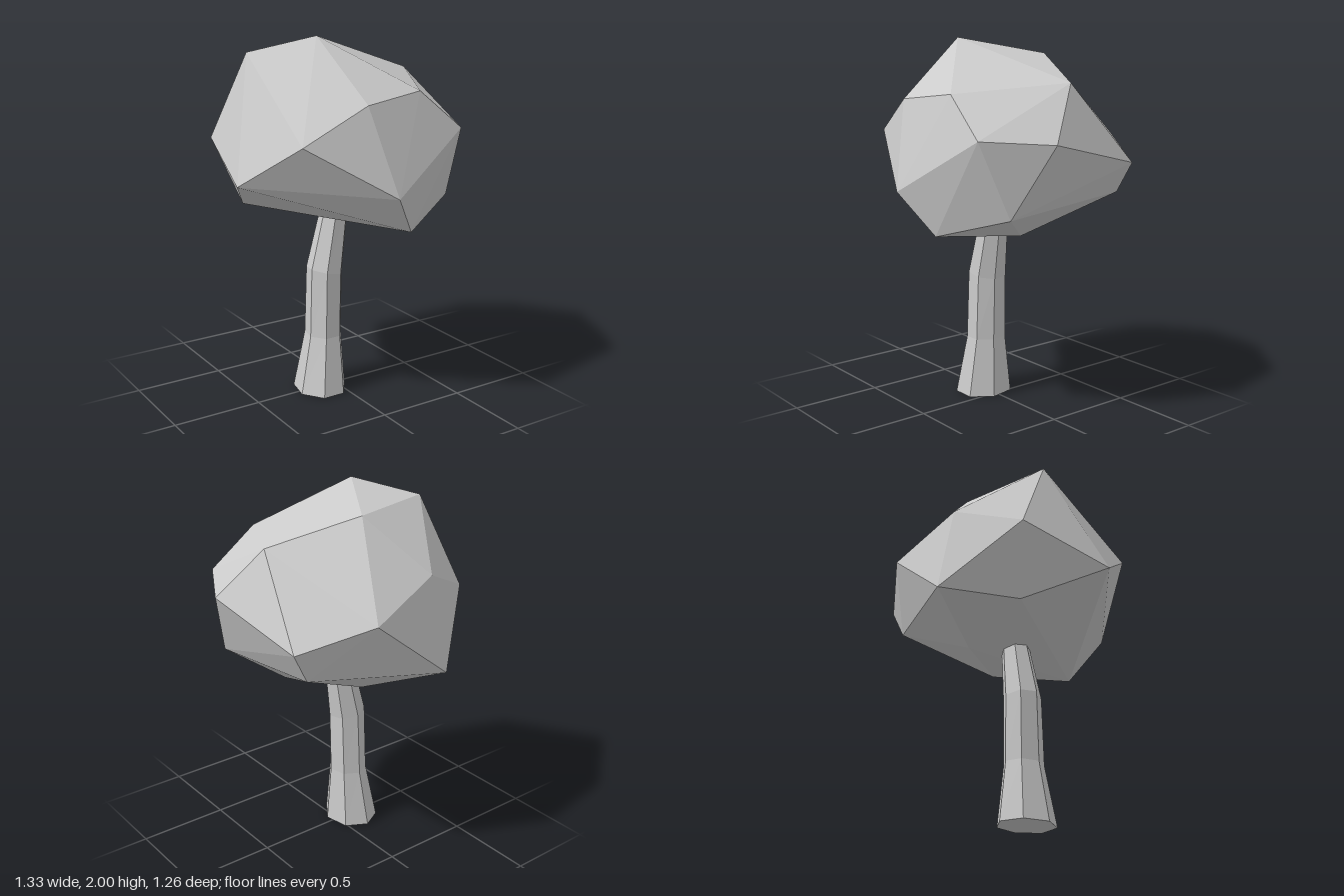
import * as THREE from 'three';
import { ConvexGeometry } from 'three/addons/geometries/ConvexGeometry.js';

const material = new THREE.MeshStandardMaterial({ color: 0xcccccc, flatShading: true });

// Seven-sided trunk, bent and tapered ring by ring
function trunk() {
  // ring: height, centre x, radius in x, radius in z, tilt
  const rings = [
    [0, -0.103, 0.146, 0.166, 0],
    [0.33, -0.08, 0.102, 0.114, 0],
    [0.7, -0.07, 0.1, 0.107, -0.2],
    [1.1, 0.005, 0.07, 0.074, -0.25],
  ];
  const geometry = new THREE.CylinderGeometry(1, 1, 1, 7, 3, false, Math.PI);
  const p = geometry.attributes.position;
  for (let i = 0; i < p.count; i++) {
    const [y, cx, rx, rz, tilt] = rings[Math.round((p.getY(i) + 0.5) * 3)];
    const dx = p.getX(i) * rx;
    p.setXYZ(i, cx + dx, y + dx * tilt, 0.006 + p.getZ(i) * rz);
  }
  geometry.computeVertexNormals();
  const mesh = new THREE.Mesh(geometry, material);
  mesh.name = 'trunk';
  return mesh;
}

// Faceted crown wrapped around a few corner points
function crown() {
  const corners = [
    // top
    [-0.185, 2.0, 0.116], [0.065, 1.915, -0.285], [-0.46, 1.91, -0.127],
    [0.51, 1.78, -0.077], [0.22, 1.73, 0.46], [-0.13, 1.69, 0.506], [-0.19, 1.62, -0.53],
    // middle
    [0.665, 1.495, 0.148], [0.475, 1.52, 0.487], [-0.457, 1.5, 0.427], [-0.57, 1.44, -0.35],
    [0.24, 1.475, -0.63], [0.6, 1.355, -0.44], [-0.667, 1.275, 0.137], [-0.02, 1.228, 0.63],
    // underside
    [0.51, 1.19, -0.42], [0.52, 1.12, 0.32], [-0.22, 1.115, -0.635], [-0.43, 1.07, -0.265],
    [0.146, 1.005, 0.508], [0.3, 0.978, 0.07], [0.04, 0.972, -0.27],
  ];
  const mesh = new THREE.Mesh(
    new ConvexGeometry(corners.map((c) => new THREE.Vector3(...c))), material);
  mesh.name = 'crown';
  return mesh;
}

export function createModel() {
  const tree = new THREE.Group();
  tree.name = 'tree';
  tree.add(trunk(), crown());
  return tree;
}
